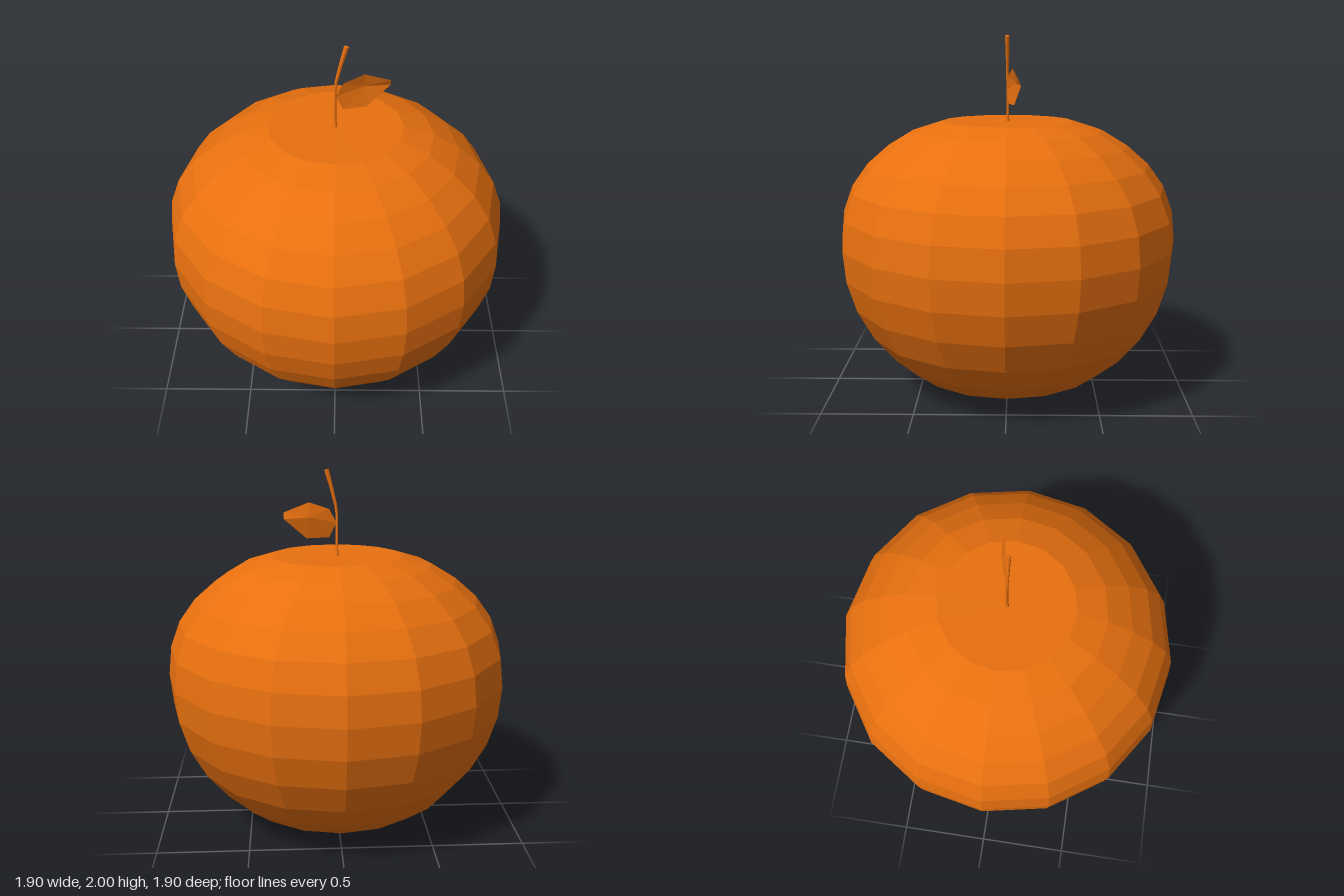
import * as THREE from 'three';

const material = new THREE.MeshStandardMaterial({
  color: 0xe8700f, flatShading: true, side: THREE.DoubleSide,
});

function part(name, geometry) {
  const mesh = new THREE.Mesh(geometry, material);
  mesh.name = name;
  return mesh;
}

// Squat faceted fruit: [radius, height] from the bottom to the flat crown
function fruitGeometry() {
  const profile = [
    [0, 0], [0.19, 0.022], [0.365, 0.055], [0.53, 0.105], [0.67, 0.21],
    [0.79, 0.355], [0.88, 0.52], [0.933, 0.69], [0.95, 0.86], [0.933, 1.02],
    [0.88, 1.165], [0.79, 1.29], [0.67, 1.395], [0.53, 1.48], [0.365, 1.532],
    [0, 1.527],
  ].map(([r, y]) => new THREE.Vector2(r, y));
  return new THREE.LatheGeometry(profile, 16);
}

// Thin stem: a cylinder whose rings follow [x, y, radius] stations
function stemGeometry() {
  const stations = [
    [-0.003, 1.525, 0.012], [-0.003, 1.56, 0.007], [-0.003, 1.75, 0.007],
    [0.003, 1.8, 0.008], [0.027, 1.9, 0.01], [0.054, 1.997, 0.013],
  ];
  const rows = stations.length - 1;
  const geometry = new THREE.CylinderGeometry(1, 1, 1, 8, rows);
  const p = geometry.attributes.position;
  for (let i = 0; i < p.count; i++) {
    const [x, y, r] = stations[Math.round((p.getY(i) + 0.5) * rows)];
    // The upper rings tilt with the bend
    const tilt = y > 1.78 ? -0.25 * p.getX(i) * r : 0;
    p.setXYZ(i, x + p.getX(i) * r, y + tilt, p.getZ(i) * r);
  }
  geometry.computeVertexNormals();
  return geometry;
}

// Folded leaf: a fan from the sunken midrib to the outline
function leafGeometry() {
  const points = [
    [0.15, 1.745, -0.05],
    [0, 1.71, 0], [0.04, 1.63, -0.005], [0.165, 1.63, -0.038],
    [0.288, 1.74, -0.075], [0.288, 1.775, -0.06], [0.15, 1.825, -0.03],
    [0.04, 1.785, -0.006],
  ];
  const rim = points.length - 1;
  const index = [];
  for (let i = 0; i < rim; i++) index.push(0, 1 + i, 1 + ((i + 1) % rim));
  const geometry = new THREE.BufferGeometry();
  geometry.setAttribute('position', new THREE.Float32BufferAttribute(points.flat(), 3));
  geometry.setIndex(index);
  geometry.computeVertexNormals();
  return geometry;
}

export function createModel() {
  const group = new THREE.Group();
  group.name = 'fruit';
  group.add(
    part('body', fruitGeometry()),
    part('stem', stemGeometry()),
    part('leaf', leafGeometry()),
  );
  return group;
}
